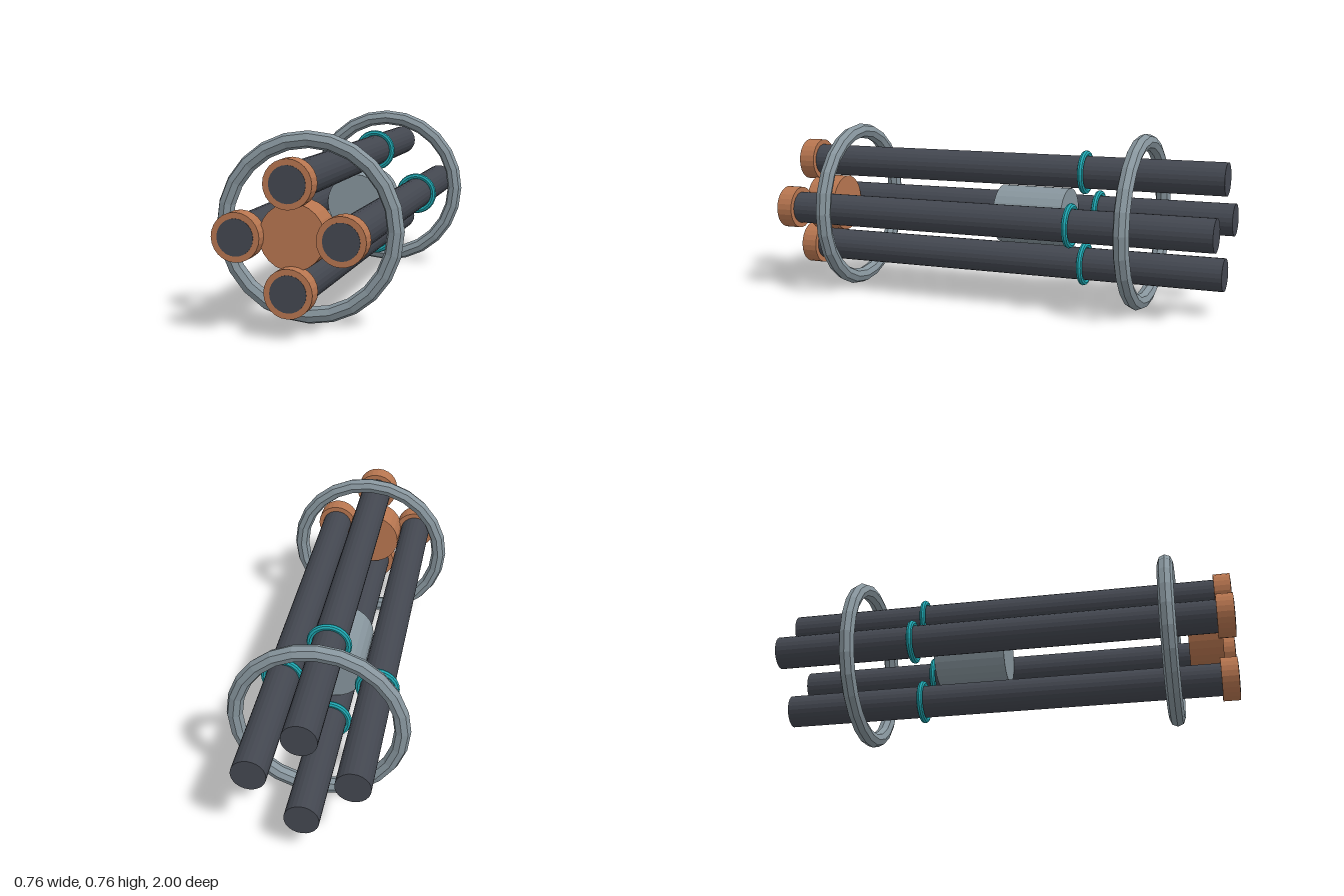
import * as THREE from 'three';

const CENTRE_Y = 0.38;
const SPREAD = 0.202;

function mat(name, color) {
  const m = new THREE.MeshStandardMaterial({ color, flatShading: true });
  m.name = name;
  return m;
}

export function createModel() {
  const model = new THREE.Group();
  model.name = 'barrelCluster';

  const darkSteel = mat('darkSteel', 0x434750);
  const copper = mat('copper', 0xb87650);
  const grey = mat('grey', 0x87959d);
  const teal = mat('teal', 0x1ea6b0);

  const add = (parent, name, geometry, material, x, y, z) => {
    const mesh = new THREE.Mesh(geometry, material);
    mesh.name = name;
    mesh.position.set(x, y, z);
    parent.add(mesh);
  };

  // Cylinder lying along z between two z values
  const rod = (parent, name, radius, z0, z1, material, x = 0, y = CENTRE_Y) => {
    const geometry = new THREE.CylinderGeometry(radius, radius, z1 - z0, 24).rotateX(Math.PI / 2);
    add(parent, name, geometry, material, x, y, (z0 + z1) / 2);
  };

  // Four barrels, each with a muzzle collar and a thin band
  for (let i = 0; i < 4; i++) {
    const angle = (i * Math.PI) / 2;
    const x = SPREAD * Math.cos(angle);
    const y = CENTRE_Y + SPREAD * Math.sin(angle);
    const barrel = new THREE.Group();
    barrel.name = 'barrelAssembly' + (i + 1);
    rod(barrel, 'barrel', 0.071, -1, 1, darkSteel, x, y);
    rod(barrel, 'muzzleCollar', 0.094, 0.925, 0.998, copper, x, y);
    add(barrel, 'barrelBand', new THREE.TorusGeometry(0.082, 0.0135, 8, 24), teal, x, y, -0.385);
    model.add(barrel);
  }

  // Central hubs
  rod(model, 'frontHub', 0.128, 0.8, 0.945, copper);
  rod(model, 'middleHub', 0.128, -0.313, 0, grey);

  // Large outer hoops
  for (const [name, z] of [['frontHoop', 0.725], ['rearHoop', -0.645]]) {
    add(model, name, new THREE.TorusGeometry(0.344, 0.034, 8, 24), grey, 0, CENTRE_Y, z);
  }

  return model;
}
